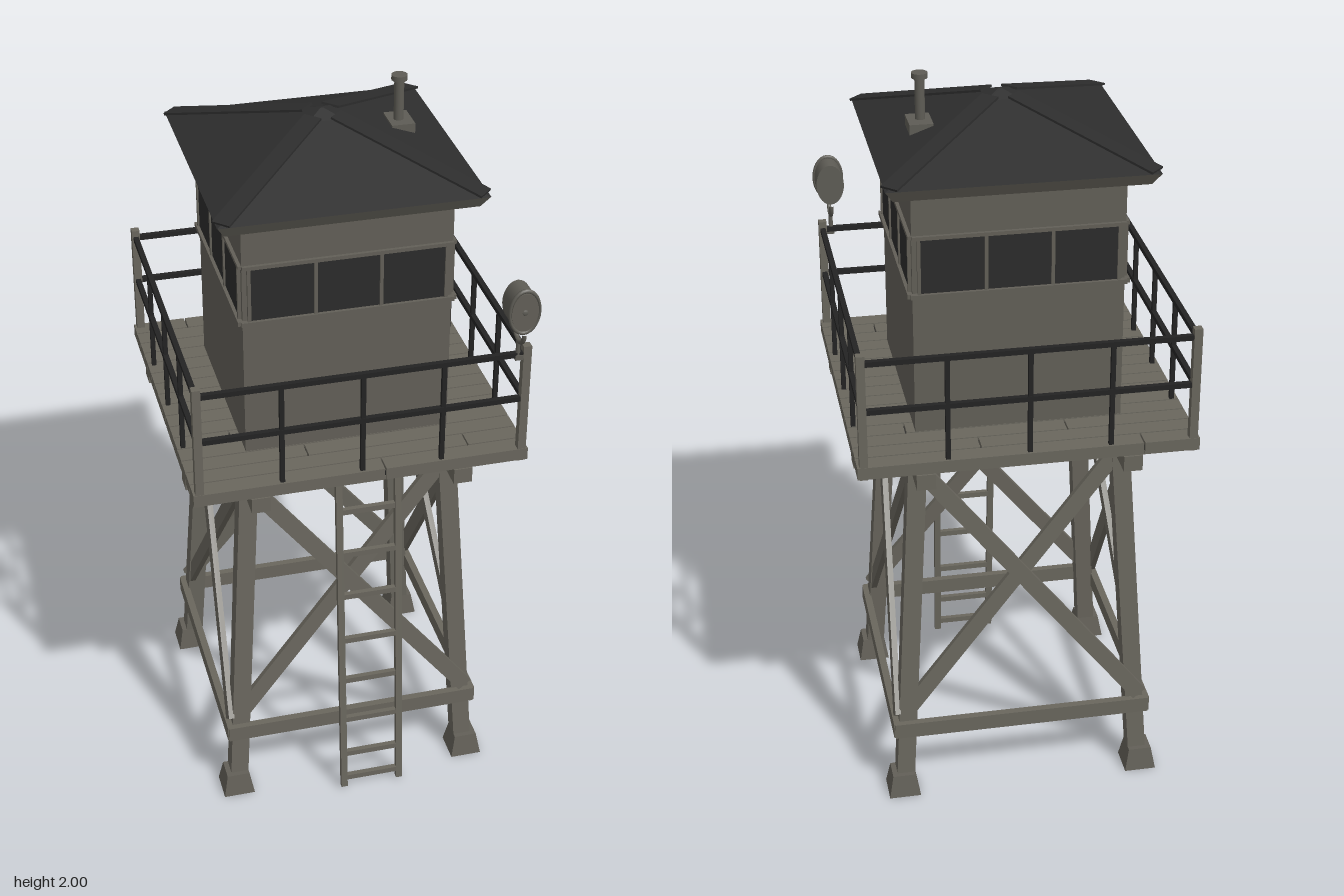
import * as THREE from 'three';

const mat = (name, color, extra = {}) => {
  const m = new THREE.MeshStandardMaterial({ color, ...extra });
  m.name = name;
  return m;
};

export function createModel() {
  const wood = mat('weathered wood', 0x69665d);
  const wall = mat('cabin wall', 0x625f57);
  const roofMat = mat('dark roofing', 0x2d2d2d, { flatShading: true });
  const iron = mat('dark iron', 0x232323);
  const glass = mat('window glass', 0x2b2b2b);
  const metal = mat('dull metal', 0x5e5c55);
  const stone = mat('concrete', 0x625f57, { flatShading: true });

  const root = new THREE.Group();
  root.name = 'watchtower';
  const tower = new THREE.Group();
  tower.name = 'tower';
  tower.position.z = -0.012;
  root.add(tower);

  const V = (x, y, z) => new THREE.Vector3(x, y, z);
  const add = (parent, name, geo, material, x = 0, y = 0, z = 0) => {
    const m = new THREE.Mesh(geo, material);
    m.name = name;
    m.position.set(x, y, z);
    parent.add(m);
    return m;
  };
  const box = (parent, name, material, w, h, d, x, y, z) =>
    add(parent, name, new THREE.BoxGeometry(w, h, d), material, x, y, z);
  // Square-section beam from a to b, its depth facing the hinted normal
  const beam = (parent, name, material, a, b, w, d, normal) => {
    const dir = b.clone().sub(a);
    const m = add(parent, name, new THREE.BoxGeometry(w, dir.length(), d), material);
    m.position.copy(a).add(b).multiplyScalar(0.5);
    const y = dir.normalize();
    const x = y.clone().cross(normal).normalize();
    m.quaternion.setFromRotationMatrix(new THREE.Matrix4().makeBasis(x, y, x.clone().cross(y)));
    return m;
  };
  // Four-sided frustum given by its half widths
  const frustum = (top, bottom, h) =>
    new THREE.CylinderGeometry(top * Math.SQRT2, bottom * Math.SQRT2, h, 4).rotateY(Math.PI / 4);
  const legAt = (y) => 0.337 - 0.062 * y;

  // Everything that repeats on the four sides
  for (let i = 0; i < 4; i++) {
    const side = new THREE.Group();
    side.name = 'side' + (i + 1);
    side.rotation.y = i * Math.PI / 2;
    tower.add(side);

    // Leg and footing
    const r0 = legAt(0.05), r1 = legAt(1.05);
    beam(side, 'leg', wood, V(r0, 0.05, r0), V(r1, 1.05, r1), 0.05, 0.05, V(0, 0, 1));
    add(side, 'footing', frustum(0.032, 0.044, 0.065), stone, 0.34, 0.0325, 0.34);

    // Cross bracing and lower tie
    const out = V(0, 0.062, 1);
    for (const s of [-1, 1]) {
      const off = s > 0 ? 0.03 : 0.014;
      beam(side, 'crossBrace', wood, V(s * 0.335, 0.25, legAt(0.25) + off),
        V(-s * 0.268, 1.01, legAt(1.01) + off), 0.045, 0.016, out);
    }
    box(side, 'lowerTie', wood, 0.72, 0.045, 0.02, 0, 0.213, legAt(0.21) + 0.03);

    // Floor beam on the leg line
    box(side, 'floorBeam', wood, 0.885, 0.044, 0.05, 0, 1.052, 0.272);

    // Railing
    box(side, 'cornerPost', wood, 0.022, 0.35, 0.022, 0.431, 1.25, 0.431);
    for (const y of [1.265, 1.4]) box(side, 'rail', iron, 0.862, 0.014, 0.014, 0, y, 0.431);
    for (const x of [-0.213, 0, 0.213]) box(side, 'railPost', iron, 0.012, 0.29, 0.012, x, 1.255, 0.431);

    // Windows with frame
    for (const x of [-0.172, 0, 0.172])
      box(side, 'windowPane', glass, 0.163, 0.146, 0.006, x, 1.58, 0.276);
    for (const x of [-0.258, -0.086, 0.086, 0.258])
      box(side, 'mullion', wall, 0.009, 0.15, 0.014, x, 1.58, 0.277);
    box(side, 'windowSill', wall, 0.56, 0.012, 0.022, 0, 1.501, 0.277);
    box(side, 'windowHead', wall, 0.55, 0.01, 0.014, 0, 1.659, 0.277);

    // Roof hip
    beam(side, 'hipCap', roofMat, V(0.335, 1.819, 0.335), V(0.03, 1.93, 0.03), 0.05, 0.006, V(0, 1, 0));
  }

  // Deck: planks over a thin base that shows dark in the gaps
  box(tower, 'deckBase', wood, 0.875, 0.012, 0.875, 0, 1.08, 0);
  box(tower, 'plankGaps', iron, 0.87, 0.014, 0.87, 0, 1.093, 0);
  const rows = 16, pitch = 0.89 / rows;
  for (let i = 0; i < rows; i++) {
    const z = -0.445 + pitch * (i + 0.5);
    const joint = -0.3 + ((i * 7) % 11) * 0.06;
    const ends = [-0.45, joint, 0.45];
    for (let k = 0; k < 2; k++) {
      const w = ends[k + 1] - ends[k] - 0.004;
      box(tower, 'plank', wood, w, 0.034, pitch - 0.004, (ends[k] + ends[k + 1]) / 2, 1.094, z);
    }
  }

  // Cabin
  box(tower, 'cabin', wall, 0.55, 0.69, 0.55, 0, 1.445, 0);

  // Roof with sloping eave board
  add(tower, 'eave', frustum(0.345, 0.325, 0.033), stone, 0, 1.7965, 0);
  add(tower, 'roof', frustum(0.004, 0.346, 0.123), roofMat, 0, 1.8745, 0);
  add(tower, 'roofCap', frustum(0.004, 0.046, 0.017), roofMat, 0, 1.932, 0);

  // Chimney pipe
  const pipe = (name, r, h, y) =>
    add(root, name, new THREE.CylinderGeometry(r, r, h, 16), metal, 0.21, y, -0.03);
  box(root, 'chimneyBase', metal, 0.062, 0.03, 0.085, 0.213, 1.862, -0.033);
  pipe('chimney', 0.013, 0.14, 1.92);
  pipe('chimneyCap', 0.021, 0.014, 1.993);

  // Ladder leaning on the deck
  const ladder = new THREE.Group();
  ladder.name = 'ladder';
  root.add(ladder);
  const ladderZ = (y) => 0.412 - 0.08 * y;
  for (const x of [-0.041, 0.122])
    beam(ladder, 'ladderRail', wood, V(x, 0.005, ladderZ(0)), V(x, 1.06, ladderZ(1.06)), 0.018, 0.016, V(0, 0, 1));
  for (const y of [0.035, 0.12, 0.24, 0.375, 0.51, 0.655, 0.79, 0.925])
    box(ladder, 'rung', wood, 0.155, 0.016, 0.014, 0.0405, y, ladderZ(y));

  // Searchlight on the front corner
  const lamp = new THREE.Group();
  lamp.name = 'searchlight';
  lamp.position.set(0.407, 1.543, 0.425);
  root.add(lamp);
  const oval = (name, r, h, z, material) => {
    const m = add(lamp, name, new THREE.CylinderGeometry(r, r, h, 28).rotateX(Math.PI / 2), material, 0, 0, z);
    m.scale.x = 0.66;
  };
  oval('lampBody', 0.058, 0.066, -0.003, metal);
  oval('lampLens', 0.054, 0.004, 0.031, wall);
  const rim = add(lamp, 'lampRim', new THREE.TorusGeometry(0.06, 0.006, 8, 28), metal, 0, 0, 0.028);
  rim.scale.x = 0.66;
  const hub = add(lamp, 'lampBulb', new THREE.SphereGeometry(0.01, 12, 8), metal, 0, 0, 0.03);
  hub.scale.z = 0.5;
  const yoke = add(lamp, 'yoke', new THREE.TorusGeometry(0.038, 0.006, 8, 20, Math.PI), metal, 0, -0.062, -0.002);
  yoke.rotation.set(Math.PI, Math.PI / 2, 0, 'YXZ');
  add(lamp, 'stem', new THREE.CylinderGeometry(0.006, 0.006, 0.06, 10), metal, 0, -0.126, -0.004);
  box(lamp, 'bracket', metal, 0.04, 0.014, 0.016, 0.012, -0.15, -0.005);

  return root;
}
